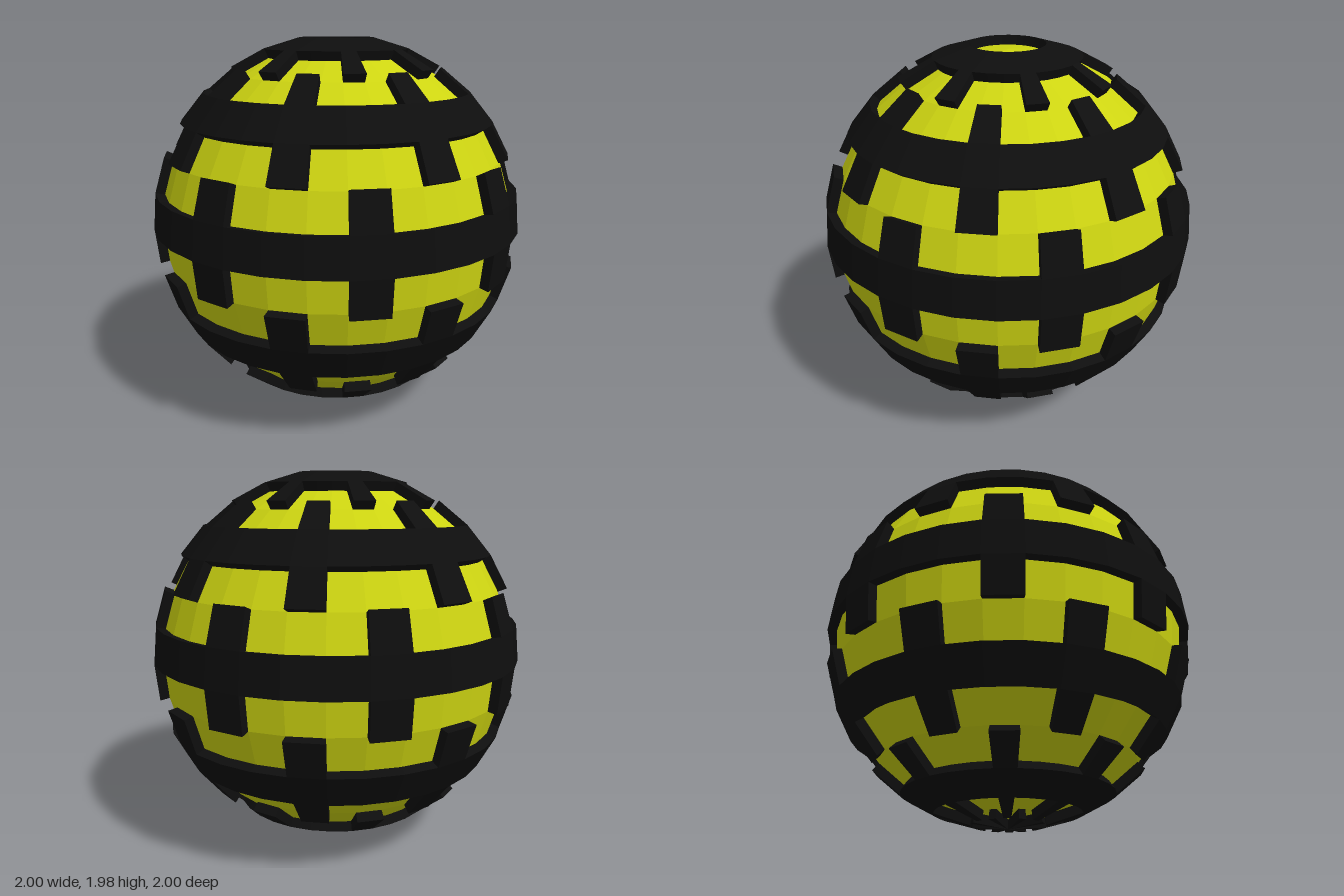
import * as THREE from 'three';

const ROWS = 16, COLS = 32;
const OUTER = 1, INNER = 0.95;

// Grid point on a sphere: row 0 is the top pole, column 0 faces +z
function gridPoint(radius, row, col) {
  const theta = (row / ROWS) * Math.PI, phi = (col / COLS) * Math.PI * 2;
  return new THREE.Vector3().setFromSphericalCoords(radius, theta, phi);
}

// A band fills its centre row; the rows above and below carry a tooth every fourth column
function isRaised(band, row, col) {
  if (row < 1 || row >= ROWS) return false;
  if (row === band.row) return true;
  return Math.abs(row - band.row) === 1 && (col - band.shift + COLS) % 4 === 0;
}

// Raised cells with outer faces, plus side walls wherever a neighbour is not raised
function bandGeometry(band) {
  const positions = [];
  const quad = (a, b, c, d) => {
    for (const p of [a, b, c, a, c, d]) positions.push(p.x, p.y, p.z);
  };
  for (let row = band.row - 1; row <= band.row + 1; row++) {
    for (let col = 0; col < COLS; col++) {
      if (!isRaised(band, row, col)) continue;
      const corners = [[row, col], [row + 1, col], [row + 1, col + 1], [row, col + 1]];
      const outer = corners.map(([r, c]) => gridPoint(OUTER, r, c));
      const inner = corners.map(([r, c]) => gridPoint(INNER, r, c));
      quad(...outer);
      // Neighbours across the left, bottom, right and top edges
      const neighbours = [[row, col - 1], [row + 1, col], [row, col + 1], [row - 1, col]];
      neighbours.forEach(([r, c], k) => {
        if (r >= ROWS || isRaised(band, r, (c + COLS) % COLS)) return;
        const n = (k + 1) % 4;
        quad(outer[k], inner[k], inner[n], outer[n]);
      });
    }
  }
  const geometry = new THREE.BufferGeometry();
  geometry.setAttribute('position', new THREE.Float32BufferAttribute(positions, 3));
  geometry.computeVertexNormals();
  return geometry;
}

export function createModel() {
  const model = new THREE.Group();
  model.name = 'bandedBall';
  const yellow = new THREE.MeshStandardMaterial({ color: 0xcdd411, flatShading: true });
  const black = new THREE.MeshStandardMaterial({ color: 0x0e0e0e, flatShading: true });

  // Faceted inner ball
  const core = new THREE.Mesh(new THREE.SphereGeometry(INNER, COLS, ROWS), yellow);
  core.name = 'innerBall';
  core.position.y = 1;
  model.add(core);

  // Toothed bands, teeth staggered from one band to the next; the last leaves a star at the bottom pole
  ['topBand', 'upperBand', 'middleBand', 'lowerBand', 'bottomBand', 'bottomStar'].forEach((name, i) => {
    const band = new THREE.Mesh(bandGeometry({ row: 1 + i * 3, shift: (i % 2) * 2 }), black);
    band.name = name;
    band.position.y = 1;
    model.add(band);
  });
  return model;
}
